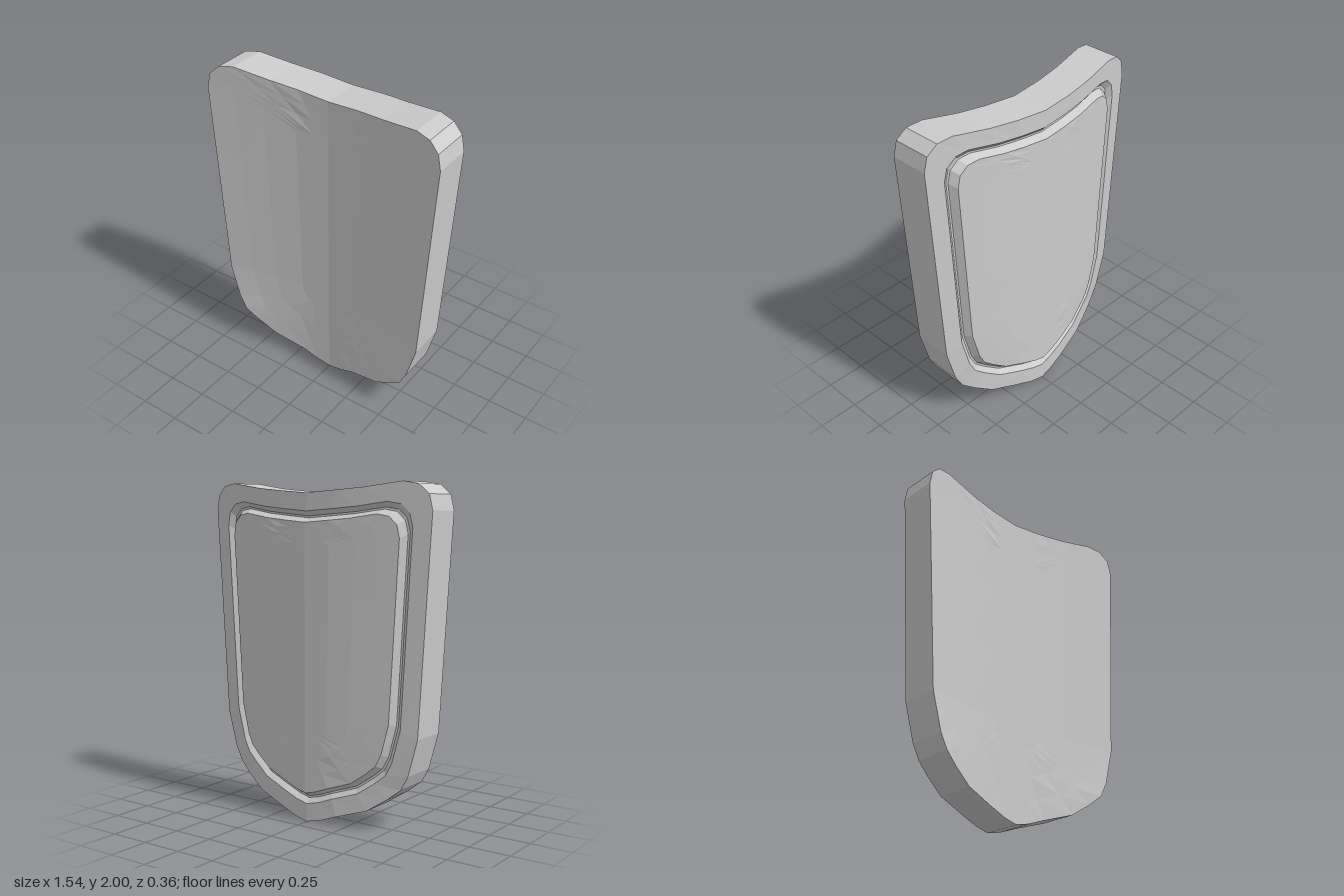
import * as THREE from 'three';

// Right half of the outline, bottom centre up to top centre
const half = [
  [0, 0], [0.09, 0.02], [0.2, 0.06], [0.39, 0.12], [0.51, 0.2], [0.59, 0.265],
  [0.635, 0.35], [0.695, 0.57], [0.72, 0.99], [0.745, 1.42], [0.77, 1.84],
  [0.75, 1.93], [0.69, 1.985], [0.6, 2], [0.38, 1.97], [0.2, 1.955], [0, 1.94],
];
const outline = [...half, ...half.slice(1, -1).reverse().map(([x, y]) => [-x, y])];

// Piecewise-linear lookup in a list of [input, output] pairs
function lookup(table, t) {
  if (t <= table[0][0]) return table[0][1];
  for (let i = 1; i < table.length; i++) {
    const [a, va] = table[i - 1], [b, vb] = table[i];
    if (t <= b) return va + (vb - va) * (t - a) / (b - a);
  }
  return table[table.length - 1][1];
}
const widthAt = [[0.265, 0.6], [0.35, 0.635], [0.57, 0.695], [1.84, 0.77]];
const bowAt = [[0, 0.073], [0.28, 0.083], [0.55, 0.113], [0.78, 0.145], [1, 0.18]];

// Depth of the bowed plate at a point
const bow = (x, y) => lookup(bowAt, Math.abs(x) / lookup(widthAt, y));

// Closed ring: the outline inset from the edge, then drawn toward the
// vertical centre line by s, and pushed back from the front surface
function ring(inset, back, s = 1) {
  return outline.map(([px, py]) => {
    const x = px * (1 - inset / 0.77) * s;
    const y0 = 1 + (py - 1) * (1 - inset);
    const spine = THREE.MathUtils.clamp(y0, 0.6, 1.6);
    const y = spine + (y0 - spine) * s;
    return [x, y, bow(x, y) - back];
  });
}

// Skin a list of rings with flat-shaded bands
function skin(name, rings) {
  const pos = [];
  for (let r = 0; r < rings.length - 1; r++) {
    const a = rings[r], b = rings[r + 1];
    for (let i = 0; i < a.length; i++) {
      const n = (i + 1) % a.length;
      pos.push(...a[i], ...b[i], ...b[n], ...a[i], ...b[n], ...a[n]);
    }
  }
  const geometry = new THREE.BufferGeometry();
  geometry.setAttribute('position', new THREE.Float32BufferAttribute(pos, 3));
  geometry.computeVertexNormals();
  const mesh = new THREE.Mesh(geometry, new THREE.MeshStandardMaterial({ color: 0xcccccc, flatShading: true }));
  mesh.name = name;
  return mesh;
}

export function createModel() {
  const group = new THREE.Group();
  group.name = 'curvedShield';
  const steps = [0, 0.28, 0.55, 0.78, 1];

  // Concave front face
  group.add(skin('frontFace', steps.map((s) => ring(0, 0, s))));
  // Side wall
  group.add(skin('edgeWall', [ring(0, 0), ring(0, 0.237)]));
  // Rear border and its bevel down into the groove
  group.add(skin('rearRim', [ring(0, 0.237), ring(0.11, 0.237), ring(0.14, 0.207), ring(0.152, 0.207)]));
  // Raised rear panel with bevelled border
  group.add(skin('rearPanel', [ring(0.152, 0.207), ring(0.178, 0.25),
    ...steps.slice(0, -1).reverse().map((s) => ring(0.178, 0.25, s))]));
  return group;
}
